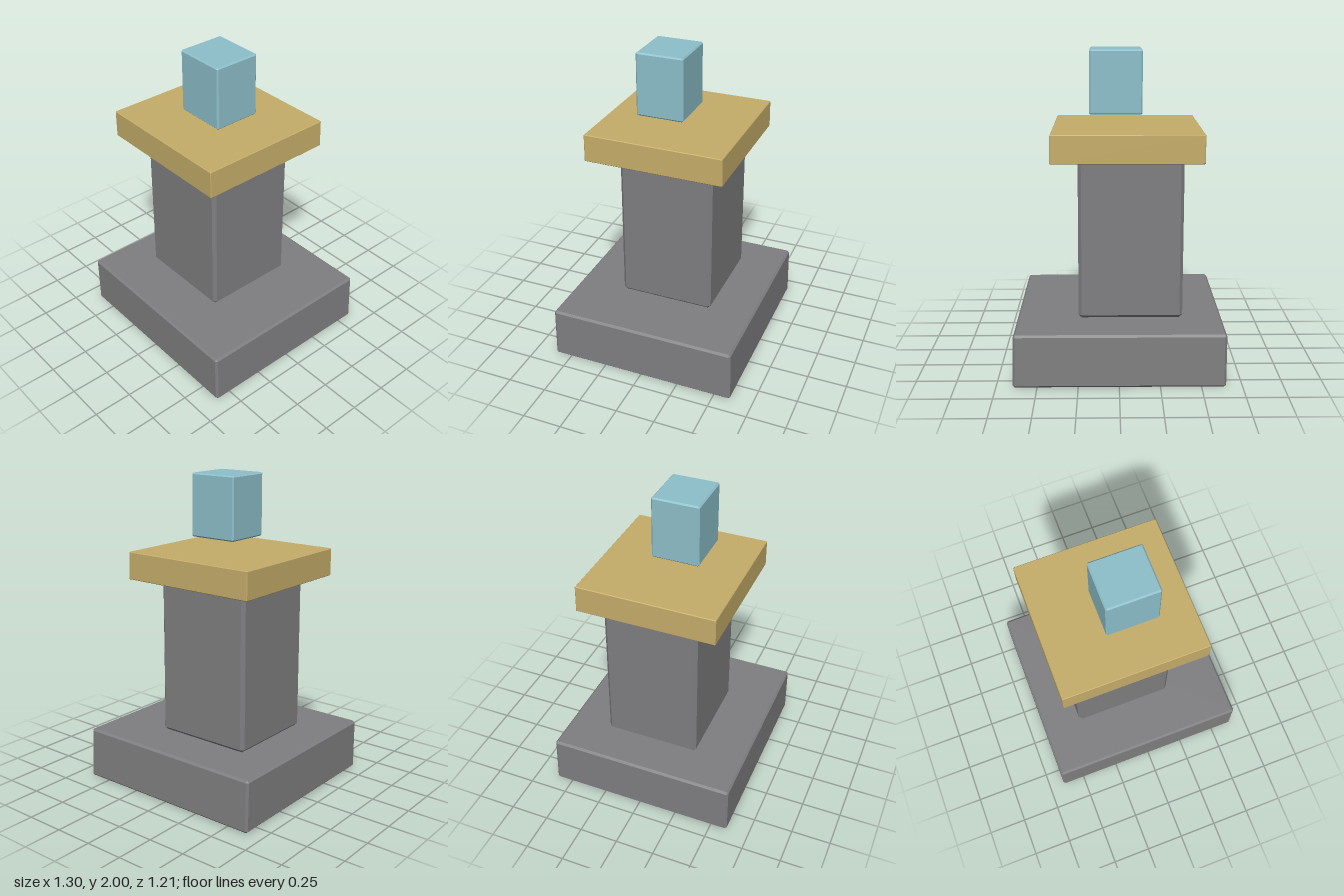
import * as THREE from 'three';
import { ConvexGeometry } from 'three/addons/geometries/ConvexGeometry.js';

// Box between two corners with chamfered edges; lean pulls the +x and back sides in towards the top
function chamferedBox(min, max, bevel, lean = 0) {
  const points = [];
  for (const sx of [0, 1]) for (const sy of [0, 1]) for (const sz of [0, 1]) {
    const side = [sx, sy, sz];
    const corner = side.map((s, i) => (s ? max[i] : min[i]));
    if (sx && sy) corner[0] -= lean;
    if (!sz && sy) corner[2] += lean;
    // three points per corner, each one lying on one face
    for (let face = 0; face < 3; face++) {
      const p = corner.map((c, i) => (i === face ? c : c + (side[i] ? -bevel : bevel)));
      points.push(new THREE.Vector3(...p));
    }
  }
  return new ConvexGeometry(points);
}

export function createModel() {
  const group = new THREE.Group();
  const material = (name, color) => {
    const m = new THREE.MeshStandardMaterial({ color });
    m.name = name;
    return m;
  };
  const stone = material('grey stone', 0x7f7f81);
  const gold = material('pale gold', 0xc5ad69);
  const crystal = material('light blue', 0x8dbfca);

  const add = (name, mat, min, max, bevel, lean) => {
    const mesh = new THREE.Mesh(chamferedBox(min, max, bevel, lean), mat);
    mesh.name = name;
    group.add(mesh);
  };

  // Pedestal: base, column and cap slab
  add('base', stone, [-0.65, 0.005, -0.607], [0.648, 0.338, 0.608], 0.013, 0.008);
  add('column', stone, [-0.4, 0.345, -0.322], [0.253, 1.35, 0.292], 0.02, 0.003);
  add('capSlab', gold, [-0.513, 1.35, -0.44], [0.412, 1.525, 0.447], 0.004, 0.003);
  // Block floating above the slab
  add('floatingBlock', crystal, [-0.15, 1.6, -0.104], [0.182, 2, 0.2], 0.009, 0.002);

  return group;
}
